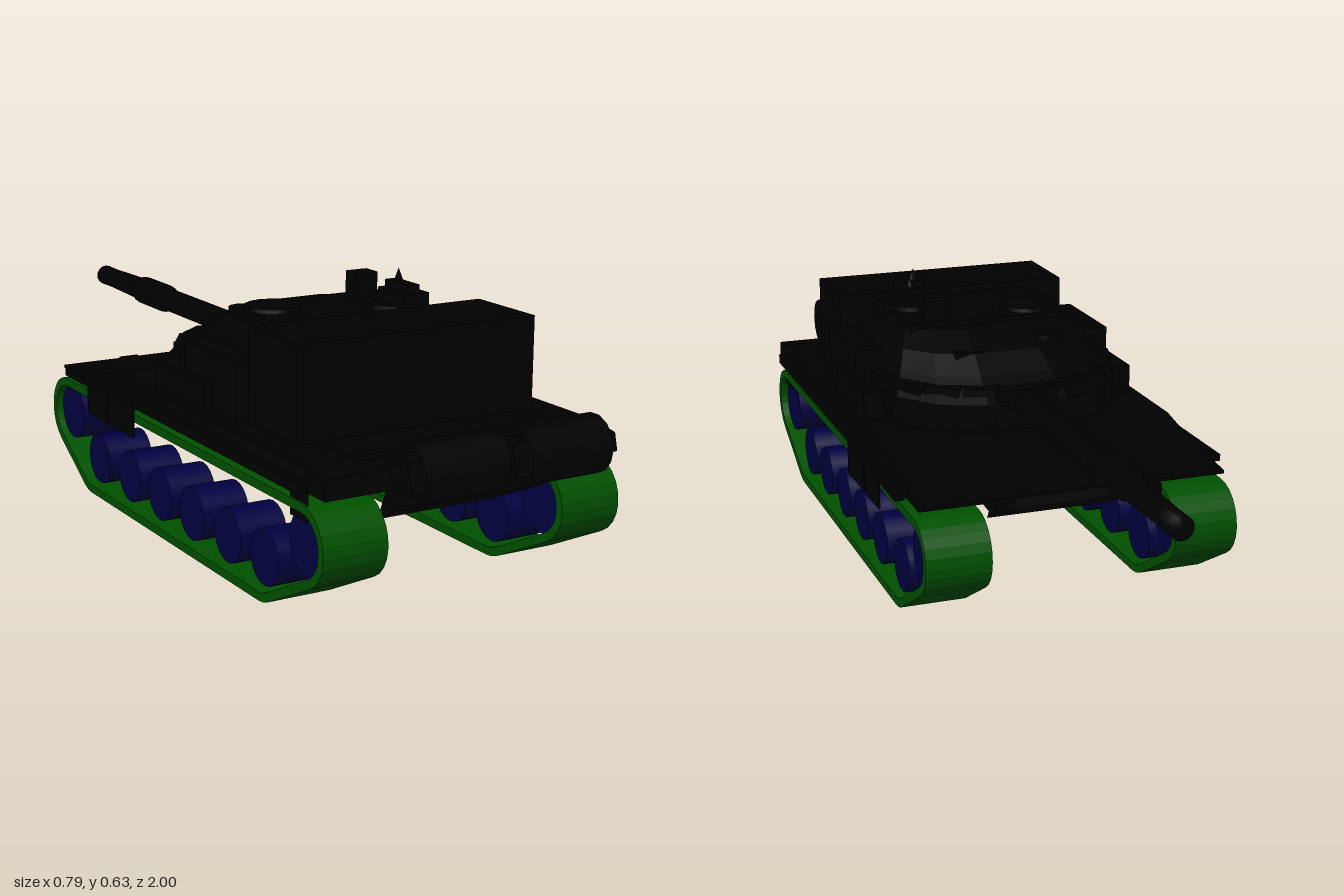
import * as THREE from 'three';

const mat = (name, color) => {
  const m = new THREE.MeshStandardMaterial({ color });
  m.name = name;
  return m;
};

export function createModel() {
  const black = mat('armour black', 0x000000);
  const green = mat('track green', 0x005000);
  const blue = mat('wheel blue', 0x000040);
  const model = new THREE.Group();

  const add = (name, geo, material, x = 0, y = 0, z = 0) => {
    const mesh = new THREE.Mesh(geo, material);
    mesh.name = name;
    mesh.position.set(x, y, z);
    model.add(mesh);
    return mesh;
  };
  // Box given by its x, y and z ranges
  const box = (name, x0, x1, y0, y1, z0, z1) =>
    add(name, new THREE.BoxGeometry(x1 - x0, y1 - y0, z1 - z0), black,
      (x0 + x1) / 2, (y0 + y1) / 2, (z0 + z1) / 2);
  const pair = (name, x0, x1, ...r) => {
    box(name + 'Left', x0, x1, ...r);
    box(name + 'Right', -x1, -x0, ...r);
  };
  // Extrude a (z, y) side profile across the width
  const across = (shape, width) => {
    const g = new THREE.ExtrudeGeometry(shape, { depth: width, bevelEnabled: false });
    return g.translate(0, 0, -width / 2).rotateY(-Math.PI / 2);
  };
  const profile = pts => new THREE.Shape(pts.map(p => new THREE.Vector2(...p)));
  const cylX = (r, len, sides, open = false) =>
    new THREE.CylinderGeometry(r, r, len, sides, 1, open).rotateZ(Math.PI / 2);

  // Tracks: rounded belts around four circles, [z, y, start angle, end angle]
  const belt = inset => {
    const pts = [];
    for (const [z, y, a0, a1] of [[0.59, 0.09, -90, -65], [0.765, 0.176, -65, 90],
      [-0.425, 0.176, 90, 241], [-0.28, 0.09, 241, 270]]) {
      const n = Math.max(2, Math.round((a1 - a0) / 15));
      for (let i = 0; i <= n; i++) {
        const a = THREE.MathUtils.degToRad(a0 + (a1 - a0) * i / n);
        pts.push([z + (0.09 - inset) * Math.cos(a), y + (0.09 - inset) * Math.sin(a)]);
      }
    }
    return pts;
  };
  const beltShape = profile(belt(0));
  beltShape.holes.push(profile(belt(0.02)));
  const beltGeo = across(beltShape, 0.153);

  // Six road wheels with a larger wheel at each end
  const wheels = [0.58, 0.415, 0.24, 0.075, -0.09, -0.268].map(z => [z, 0.09, 0.063]);
  wheels.push([0.76, 0.172, 0.073], [-0.427, 0.176, 0.069]);
  for (const [side, s] of [['Left', 1], ['Right', -1]]) {
    add('track' + side, beltGeo, green, s * 0.296);
    wheels.forEach(([z, y, r], i) => add('wheel' + side + (i + 1), cylX(r, 0.115, 20), blue, s * 0.296, y, z));
    // Thin flap hanging beside the rear wheel
    box('mudFlap' + side, s * 0.367 - 0.001, s * 0.367 + 0.001, 0.228, 0.3, 0.715, 0.785);
  }

  // Upper hull, full width, with a narrower nose wedge between the tracks
  add('upperHull', across(profile([[0.85, 0.29], [0.84, 0.33], [0.76, 0.342], [-0.14, 0.34],
    [-0.25, 0.318], [-0.45, 0.295], [-0.45, 0.287]]), 0.734), black);
  add('noseWedge', across(profile([[-0.2, 0.3], [-0.45, 0.289], [-0.455, 0.268], [-0.2, 0.286]]), 0.41), black);
  pair('fender', 0.365, 0.386, 0.288, 0.312, -0.36, 0.78);
  pair('noseLug', 0.15, 0.2, 0.27, 0.292, -0.475, -0.42);
  pair('skirtFront', 0.392, 0.397, 0.222, 0.3, -0.235, -0.125);
  pair('skirtRear', 0.392, 0.397, 0.222, 0.3, -0.115, 0.025);
  pair('skirtRail', 0.375, 0.397, 0.288, 0.304, -0.37, 0.025);

  // Belly: bent plates joining the two ends, open at the sides; [z, y, half width]
  const bend = [[0.84, 0.3, 0.215], [0.80, 0.225, 0.208], [0.745, 0.2, 0.2],
    [0.72, 0.184, 0.15], [-0.28, 0.184, 0.15], [-0.45, 0.272, 0.205]];
  const pos = [];
  for (let i = 0; i < bend.length - 1; i++) {
    const [z0, y0, w0] = bend[i], [z1, y1, w1] = bend[i + 1];
    pos.push(-w0, y0, z0, -w1, y1, z1, w1, y1, z1, -w0, y0, z0, w1, y1, z1, w0, y0, z0);
  }
  const belly = new THREE.BufferGeometry();
  belly.setAttribute('position', new THREE.Float32BufferAttribute(pos, 3));
  belly.computeVertexNormals();
  add('bellyPlates', belly, black);

  // Turret: stacked outlines that shrink toward the roof; [height, scale]
  const half = [[0.1, -0.15], [0.21, -0.1], [0.28, -0.01], [0.32, 0.13], [0.32, 0.28], [0.3, 0.44]];
  const outline = [...half, ...half.map(([x, z]) => [-x, z]).reverse()];
  const levels = [[0.33, 0.97], [0.41, 1], [0.455, 0.86], [0.495, 0.75], [0.53, 0.6]];
  const verts = [], idx = [], n = outline.length;
  for (const [y, s] of levels)
    for (const [x, z] of outline) verts.push([x * (0.3 + 0.7 * s), y, 0.44 + (z - 0.44) * s]);
  for (let l = 0; l < levels.length - 1; l++)
    for (let i = 0; i < n; i++) {
      const a = l * n + i, b = l * n + (i + 1) % n;
      idx.push(a, a + n, b, b, a + n, b + n);
    }
  const roof = (levels.length - 1) * n;
  for (let i = 1; i < n - 1; i++) idx.push(roof, roof + i + 1, roof + i);
  const shell = new THREE.BufferGeometry();
  shell.setAttribute('position', new THREE.Float32BufferAttribute(verts.flat(), 3));
  shell.setIndex(idx);
  const turret = shell.toNonIndexed();
  turret.computeVertexNormals();
  add('turret', turret, black);

  // Armour blocks around the front of the turret
  for (let i = 0; i < 8; i++) {
    const a = (i < 4 ? -1 : 1) * (0.35 + (i % 4) * 0.32);
    const block = add('armourBlock' + (i + 1), new THREE.BoxGeometry(0.085, 0.085, 0.06), black,
      Math.sin(a) * 0.28, 0.4, 0.14 - Math.cos(a) * 0.245);
    block.rotation.y = -a;
  }
  pair('sideBin', 0.26, 0.333, 0.34, 0.48, 0.17, 0.42);
  pair('sideBinLow', 0.26, 0.347, 0.34, 0.41, 0.05, 0.3);

  // Stowage bin at the turret rear
  add('stowageBin', across(profile([[0.63, 0.338], [0.63, 0.555], [0.42, 0.555], [0.42, 0.338]]), 0.604), black);

  // Roof fittings
  const drum = (name, r, h, x, y, z) => add(name, new THREE.CylinderGeometry(r, r * 1.1, h, 14), black, x, y, z);
  box('roofPlate', -0.2, 0.2, 0.5, 0.54, 0.14, 0.43);
  drum('commanderCupola', 0.075, 0.05, 0.13, 0.528, 0.33);
  drum('loaderHatch', 0.065, 0.03, -0.13, 0.535, 0.22);
  drum('smallHatch', 0.035, 0.05, -0.12, 0.49, 0.06);
  box('cupolaSight', 0.093, 0.156, 0.54, 0.586, 0.315, 0.43);
  box('cupolaSightTop', 0.106, 0.137, 0.58, 0.604, 0.325, 0.42);
  add('cupolaSpike', new THREE.ConeGeometry(0.022, 0.06, 5), black, 0.128, 0.602, 0.347);
  box('gunnerSight', 0.1, 0.157, 0.45, 0.598, 0.163, 0.212);
  box('roofSight', 0.06, 0.13, 0.44, 0.5, 0.0, 0.08);

  // Gun: stepped barrel along -z; [radius, distance from the mantlet]
  const barrel = [[0, 0], [0.034, 0], [0.034, 0.12], [0.03, 0.14], [0.03, 0.46], [0.037, 0.48],
    [0.037, 0.62], [0.03, 0.64], [0.026, 0.82], [0.027, 0.88], [0, 0.88]].map(p => new THREE.Vector2(...p));
  add('gunBarrel', new THREE.LatheGeometry(barrel, 14).rotateX(-Math.PI / 2), black, 0, 0.405, -0.12);
  box('mantlet', -0.075, 0.075, 0.355, 0.44, -0.145, 0.0);

  // Engine deck, rear drums (closed at the left end only) and tapered brackets
  box('engineGrille', -0.26, 0.26, 0.335, 0.35, 0.65, 0.78);
  const bracket = profile([[0.84, 0.31], [0.92, 0.295], [0.9, 0.36], [0.82, 0.335]]);
  for (const [side, s] of [['Left', 1], ['Right', -1]]) {
    const x = s * 0.128;
    add('fuelDrum' + side, cylX(0.064, 0.203, 14, true), black, x, 0.35, 0.936);
    add('drumCap' + side, new THREE.CircleGeometry(0.064, 14).rotateY(Math.PI / 2), black, x + 0.1015, 0.35, 0.936);
    add('drumBracket' + side, across(bracket, 0.16), black, x);
  }
  box('towHook', -0.02, 0.02, 0.28, 0.33, 0.83, 0.86);
  return model;
}
